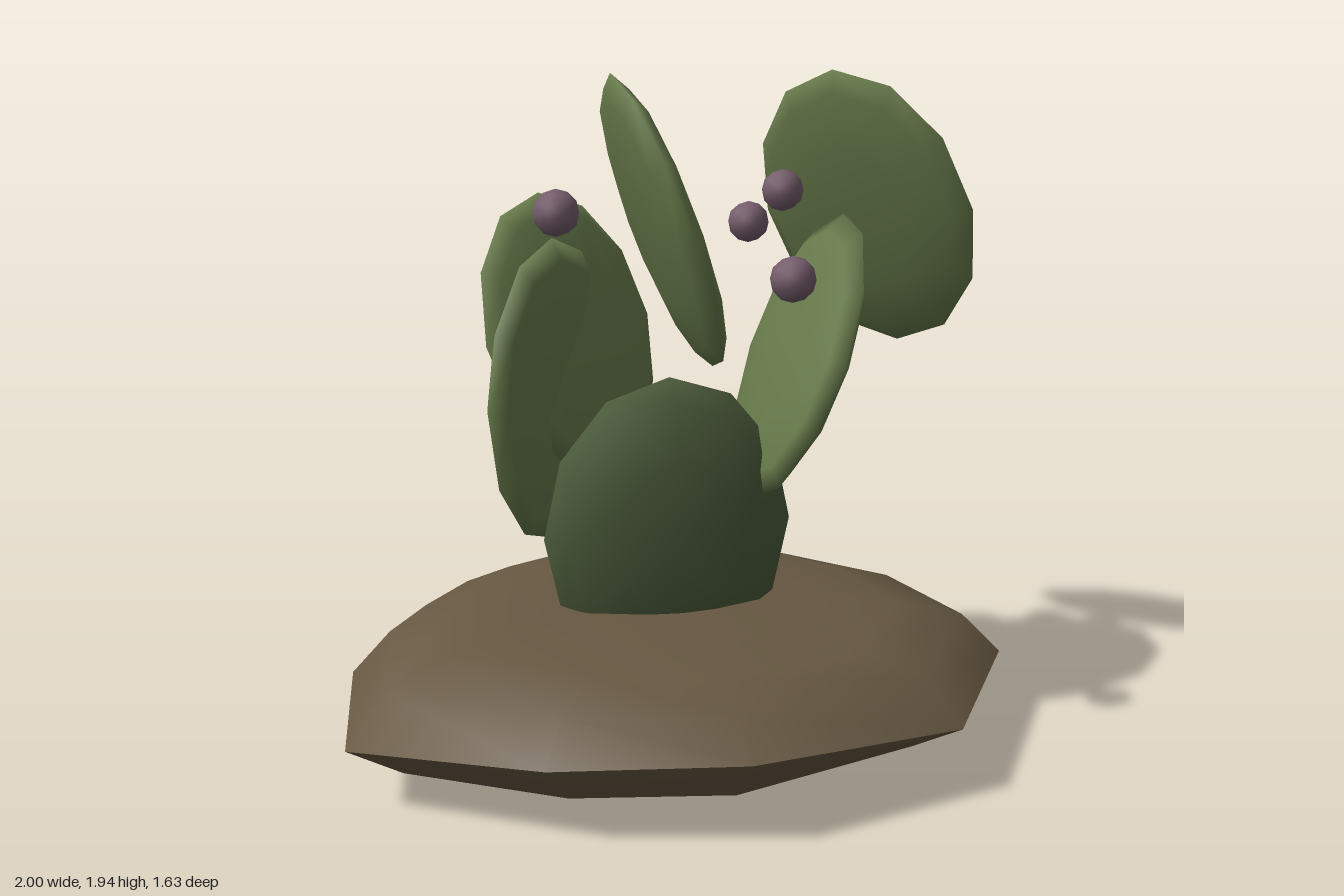
import * as THREE from 'three';
import { toCreasedNormals } from 'three/addons/utils/BufferGeometryUtils.js';

const V = (x, y, z) => new THREE.Vector3(x, y, z);
const material = (name, color) => {
  const m = new THREE.MeshStandardMaterial({ color });
  m.name = name;
  return m;
};

// Flattened low-poly disc: `up` is its long axis, `normal` its thin axis
function makePad(name, mat, center, up, normal, halfLength, halfWidth, halfThickness) {
  const geo = new THREE.SphereGeometry(1, 12, 6);
  geo.rotateX(Math.PI / 2); // poles face along the thin axis
  geo.scale(halfWidth * 1.01, halfLength * 1.01, halfThickness);
  const n = V(...normal).normalize();
  const side = V(...up).cross(n).normalize();
  const u = n.clone().cross(side);
  geo.applyMatrix4(new THREE.Matrix4().makeBasis(side, u, n));
  const mesh = new THREE.Mesh(geo, mat);
  mesh.name = name;
  mesh.position.set(...center);
  return mesh;
}

// Irregular mound: one rim outline repeated at several scales and heights
function makeMound(mat) {
  const rim = [
    [-1, 0.27, 0.18], [-0.91, -0.24, 0.2], [-0.75, -0.46, 0.22], [-0.56, -0.67, 0.23],
    [-0.3, -0.78, 0.23], [-0.04, -0.82, 0.23], [0.6, -0.7, 0.21], [0.93, -0.26, 0.2],
    [1, 0.2, 0.2], [0.62, 0.69, 0.2], [-0.04, 0.81, 0.24], [-0.54, 0.64, 0.22],
  ];
  // [scale, height, slope along x, slope along z]; the full-size ring is the rim itself
  const rings = [
    [0, 0.017, 0, 0], [0.45, 0.017, 0.03, -0.03], [0.84, 0.1, 0.03, 0], [1],
    [0.88, 0.325, 0, 0], [0.68, 0.387, -0.015, -0.03], [0.42, 0.418, -0.03, -0.04], [0, 0.41, 0, 0],
  ];
  const points = [];
  const index = [];
  const count = rim.length;
  const last = rings.length - 1;
  rings.forEach(([s, h, sx, sz], r) => rim.forEach(([x, z, y], i) => {
    points.push(x * s, s === 1 ? y : h + s * (sx * x + sz * z), z * s);
    if (r === last) return;
    const a = r * count + i;
    const b = r * count + (i + 1) % count;
    const c = b + count;
    const d = a + count;
    if (r < last - 1) index.push(a, d, c);
    else index.push(a, d, b);
    if (r > 0 && r < last - 1) index.push(a, c, b);
  }));
  const geo = new THREE.BufferGeometry();
  geo.setAttribute('position', new THREE.Float32BufferAttribute(points, 3));
  geo.setIndex(index);
  const mesh = new THREE.Mesh(toCreasedNormals(geo, 0.85), mat);
  mesh.name = 'mound';
  return mesh;
}

export function createModel() {
  const model = new THREE.Group();
  model.name = 'cactus';
  const soil = material('soil brown', 0x675842);
  const trunkGreen = material('dark green', 0x4b5a3a);
  const padGreen = material('pad green', 0x677a4b);
  const fruitPurple = material('fruit purple', 0x755c6b);

  model.add(makeMound(soil));

  // Main pad rooted in the mound, then the pads around it
  model.add(makePad('trunkPad', trunkGreen, [0, 0.63, 0], [0, 1, 0], [0, 0, 1], 0.45, 0.375, 0.14));
  const pads = [
    ['leftLowerPad', [0.41, 1.115, -0.035], [0.36, 0.93, -0.1], [0.93, -0.36, 0.02], 0.44, 0.34, 0.065],
    ['leftUpperPad', [0.722, 1.515, -0.255], [-0.333, 0.931, 0.15], [0.759, 0.36, -0.542], 0.455, 0.365, 0.068],
    ['middlePad', [0.005, 1.517, -0.075], [-0.335, 0.94, 0.02], [0.93, 0.34, 0.06], 0.45, 0.345, 0.072],
    ['rightUprightPad', [-0.275, 1.005, -0.27], [0, 1, 0], [0.71, 0, 0.7], 0.455, 0.36, 0.068],
    ['rightTiltedPad', [-0.2, 1.175, -0.345], [-0.158, 0.91, -0.24], [0.527, 0.3, 0.795], 0.42, 0.36, 0.07],
  ];
  for (const [name, ...shape] of pads) model.add(makePad(name, padGreen, ...shape));

  // Small round fruits
  const fruitGeo = new THREE.IcosahedronGeometry(0.063, 1);
  const fruits = [[-0.385, 1.595, 0.225], [0.22, 1.415, 0.39], [0.355, 1.485, -0.31], [0.42, 1.59, -0.195]];
  fruits.forEach((p, i) => {
    const fruit = new THREE.Mesh(fruitGeo, fruitPurple);
    fruit.name = `fruit${i + 1}`;
    fruit.position.set(...p);
    model.add(fruit);
  });
  return model;
}
